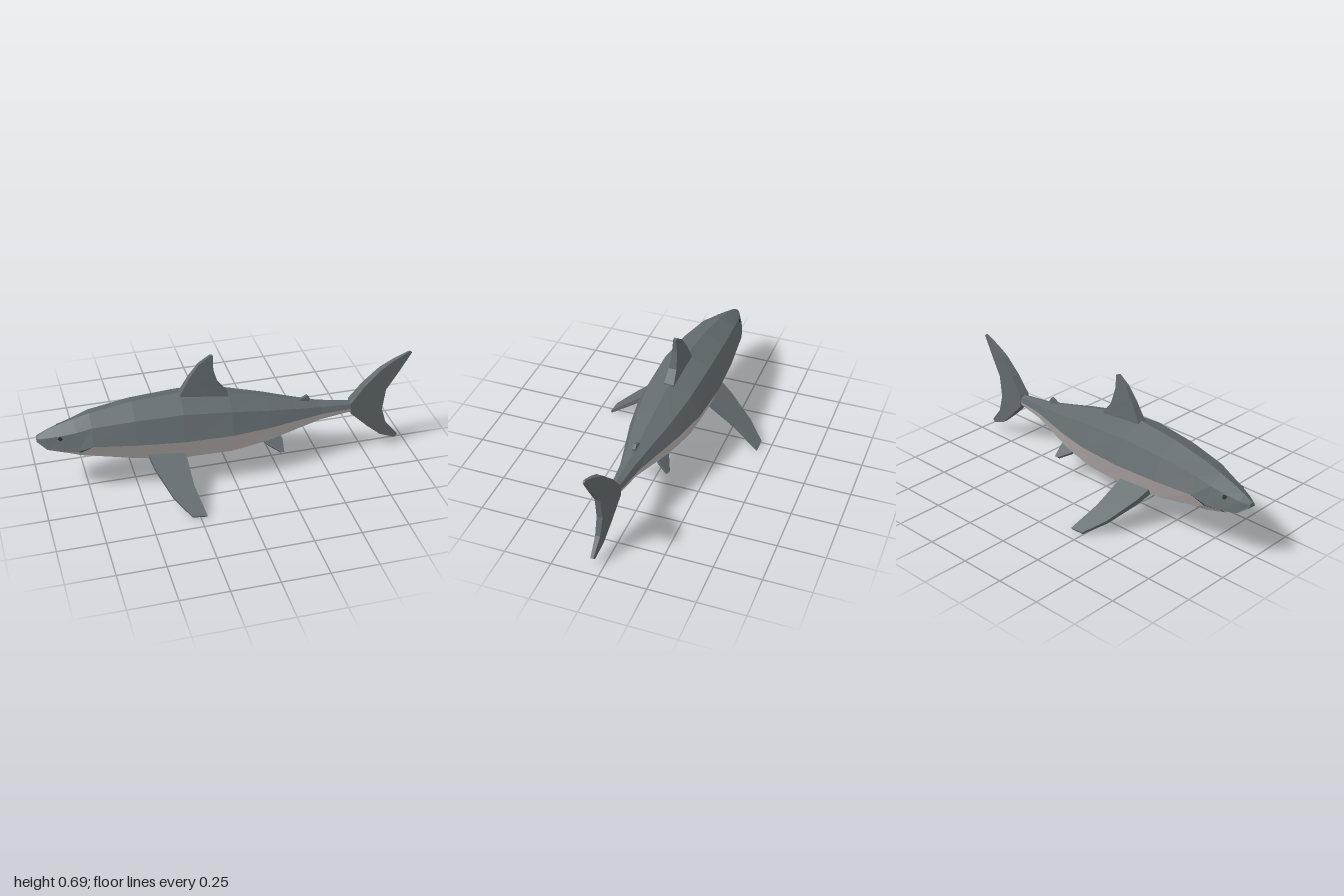
import * as THREE from 'three';

const mat = (name, color) => {
  const m = new THREE.MeshStandardMaterial({ color });
  m.name = name;
  return m;
};

// Faceted skin through rings that all have the same number of points
function loft(rings) {
  const pos = [];
  for (let i = 0; i < rings.length - 1; i++) {
    for (let j = 0; j < rings[i].length - 1; j++) {
      const a = rings[i][j], b = rings[i + 1][j];
      const c = rings[i + 1][j + 1], d = rings[i][j + 1];
      pos.push(...a, ...b, ...c, ...a, ...c, ...d);
    }
  }
  const g = new THREE.BufferGeometry();
  g.setAttribute('position', new THREE.Float32BufferAttribute(pos, 3));
  g.computeVertexNormals();
  return g;
}

// Half of an octagonal section: sign +1 is the back, -1 the belly
const halfRing = (x, edge, tip, w, sign) =>
  Array.from({ length: 5 }, (_, i) => {
    const a = (i * Math.PI) / 4;
    return [x, edge + (tip - edge) * Math.sin(a), sign * w * Math.cos(a)];
  });

// Fin cut from an outline, with thickness varying over its surface.
// Groups: 0 = lid at -z, 1 = lid at +z, 2 = rim
function finGeometry(points, thickness) {
  const shape = new THREE.Shape(points.map(([x, y]) => new THREE.Vector2(x, y)));
  const g = new THREE.ExtrudeGeometry(shape, { depth: 1, bevelEnabled: false });
  const p = g.attributes.position;
  for (let i = 0; i < p.count; i++) {
    p.setZ(i, (p.getZ(i) - 0.5) * thickness(p.getX(i), p.getY(i)));
  }
  const lid = g.groups[0].count / 2;
  g.clearGroups();
  g.addGroup(0, lid, 0);
  g.addGroup(lid, lid, 1);
  g.addGroup(lid * 2, p.count - lid * 2, 2);
  g.computeVertexNormals();
  return g;
}

export function createModel() {
  const skin = mat('slate skin', 0x626a6e);
  const belly = mat('pale belly', 0xbfb8b6);
  const dark = mat('dark eye and mouth', 0x25282b);

  const model = new THREE.Group();
  model.name = 'shark';
  const body = new THREE.Group();
  body.name = 'body';
  body.rotation.y = -0.05;
  body.position.z = 0.005;
  model.add(body);
  const add = (name, geometry, material) => {
    const mesh = new THREE.Mesh(geometry, material);
    mesh.name = name;
    body.add(mesh);
    return mesh;
  };

  // Trunk stations: x, top, side edge, bottom, half width
  const trunk = [
    [-0.72, 0.425, 0.3, 0.188, 0.128],
    [-0.5, 0.465, 0.3, 0.142, 0.162],
    [-0.25, 0.485, 0.298, 0.112, 0.182],
    [0, 0.455, 0.297, 0.112, 0.175],
    [0.2, 0.405, 0.29, 0.138, 0.135],
    [0.35, 0.365, 0.284, 0.178, 0.093],
    [0.5, 0.328, 0.279, 0.218, 0.052],
    [0.67, 0.308, 0.275, 0.242, 0.03],
    [0.67, 0.275, 0.275, 0.275, 0],
  ];
  // Snout and jaw stations: x, edge, top or bottom, half width
  const snout = [
    [-1, 0.31, 0.31, 0],
    [-0.998, 0.3, 0.322, 0.022],
    [-0.95, 0.267, 0.35, 0.055],
    [-0.87, 0.263, 0.38, 0.088],
    [-0.8, 0.268, 0.402, 0.108],
  ];
  const jaw = [
    [-0.87, 0.233, 0.233, 0],
    [-0.865, 0.237, 0.222, 0.05],
    [-0.78, 0.258, 0.203, 0.1],
  ];
  const upper = [...snout, ...trunk.map(([x, t, e, , w]) => [x, e, t, w])];
  const lower = [...jaw, ...trunk.map(([x, , e, b, w]) => [x, e, b, w])];
  add('back', loft(upper.map((s) => halfRing(...s, 1))), skin);
  add('belly', loft(lower.map((s) => halfRing(...s, -1))), belly);

  // Roof and floor of the open mouth
  const flat = (sign) => ([x, e, , w]) => [[x, e, -sign * w], [x, e, sign * w]];
  add('palate', loft(upper.slice(0, 6).map(flat(1))), skin);
  add('mouthFloor', loft(lower.slice(0, 4).map(flat(-1))), dark);

  // Upright fins
  add('dorsalFin', finGeometry([
    [-0.26, 0.46], [-0.25, 0.485], [-0.2, 0.575], [-0.15, 0.645], [-0.09, 0.69],
    [-0.075, 0.685], [-0.075, 0.61], [-0.05, 0.52], [0, 0.455], [0, 0.43],
  ], (x, y) => 0.055 - 0.04 * THREE.MathUtils.clamp((y - 0.45) / 0.24, 0, 1)), skin);

  add('secondDorsalFin', finGeometry([
    [0.38, 0.34], [0.39, 0.357], [0.43, 0.377], [0.447, 0.355], [0.44, 0.33],
  ], () => 0.016), skin);

  add('tailFin', finGeometry([
    [0.67, 0.245], [0.67, 0.307], [0.74, 0.4], [0.83, 0.49], [0.9, 0.535],
    [0.985, 0.578], [0.997, 0.57], [0.93, 0.46], [0.865, 0.36], [0.85, 0.24],
    [0.88, 0.14], [0.952, 0.055], [0.935, 0.04], [0.85, 0.075], [0.77, 0.145],
  ], (x) => 0.06 - 0.158 * (x - 0.67)), skin);

  // Paired fins: outline is length along the body by span from the root
  const pectoral = finGeometry([
    [-0.44, 0], [-0.42, 0.08], [-0.35, 0.25], [-0.27, 0.365],
    [-0.195, 0.37], [-0.235, 0.2], [-0.25, 0],
  ], (x, s) => 0.035 - 0.06 * s);
  const pelvic = finGeometry([
    [0.14, 0], [0.2, 0.07], [0.265, 0.12], [0.285, 0.12], [0.285, 0.05], [0.27, 0],
  ], () => 0.018);

  for (const side of [1, -1]) {
    const word = side > 0 ? 'near' : 'far';
    const pecMats = side > 0 ? [skin, belly, skin] : [belly, skin, skin];
    const pec = add(word + 'PectoralFin', pectoral, pecMats);
    pec.rotation.x = side * (Math.PI / 2 + 0.555);
    pec.position.set(0, 0.2, side * 0.12);

    const pel = add(word + 'PelvicFin', pelvic, skin);
    pel.rotation.x = side * (Math.PI / 2 + 0.88);
    pel.position.set(0, 0.2, side * 0.035);

    // Eye disc lying on the side of the head
    const eye = add(word + 'Eye', new THREE.CylinderGeometry(0.011, 0.011, 0.008, 8), dark);
    const normal = new THREE.Vector3(-0.3, 0.3, side * 0.9).normalize();
    eye.quaternion.setFromUnitVectors(new THREE.Vector3(0, 1, 0), normal);
    eye.position.set(-0.88, 0.33, side * 0.064);
  }
  return model;
}
